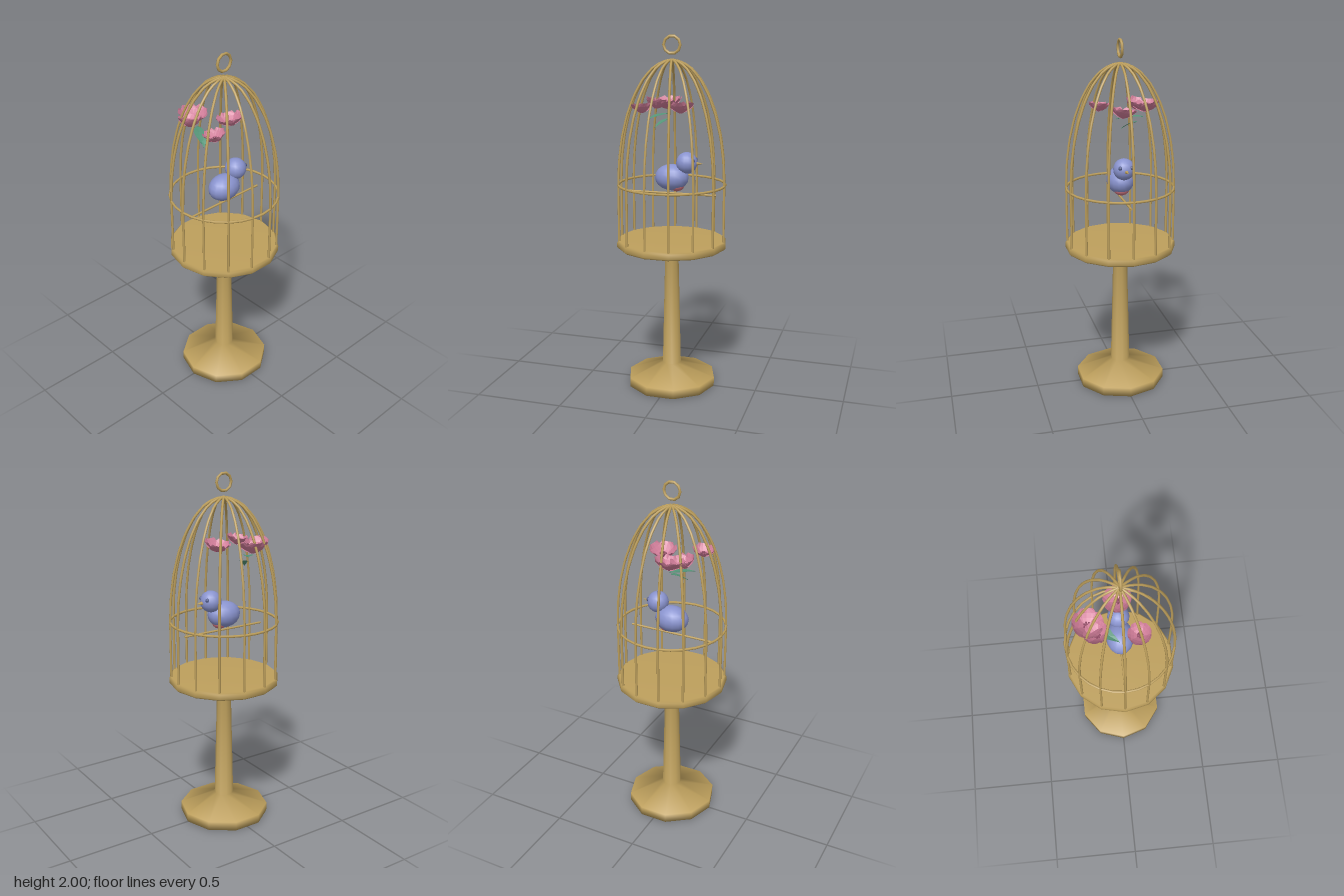
import * as THREE from 'three';

const mat = (name, color, extra = {}) => {
  const m = new THREE.MeshStandardMaterial({ color, ...extra });
  m.name = name;
  return m;
};

export function createModel() {
  const gold = mat('gold', 0xbd9f5c);
  const blue = mat('feather blue', 0x8a94cf);
  const eyeBlue = mat('eye blue', 0x555f8c);
  const petalPink = mat('petal pink', 0xd07d99, { flatShading: true, side: THREE.DoubleSide });
  const darkPink = mat('stamen pink', 0x96506a, { flatShading: true });
  const bellyPink = mat('belly pink', 0xc97480);
  const green = mat('leaf green', 0x559478, { flatShading: true, side: THREE.DoubleSide });

  const model = new THREE.Group();
  const add = (parent, name, geo, material, x = 0, y = 0, z = 0) => {
    const m = new THREE.Mesh(geo, material);
    m.name = name;
    m.position.set(x, y, z);
    parent.add(m);
    return m;
  };
  const lathe = (pts, sides) =>
    new THREE.LatheGeometry(pts.map(([r, y]) => new THREE.Vector2(r, y)), sides, Math.PI / 2);

  // Stand with wide foot and flared neck
  add(model, 'stand', lathe([
    [0, 0], [0.255, 0], [0.255, 0.052], [0.055, 0.125], [0.04, 0.765], [0.085, 0.83],
  ], 10), gold);

  // Cage tray
  const SIDES = 14;
  add(model, 'tray', lathe([
    [0, 0.822], [0.302, 0.822], [0.312, 0.832], [0.312, 0.858], [0.302, 0.868], [0, 0.868],
  ], SIDES), gold);

  // Cage bars: straight below, elliptical dome above
  const cage = new THREE.Group();
  cage.name = 'cage';
  model.add(cage);
  const path = new THREE.CurvePath();
  const profile = [new THREE.Vector3(0.3, 0.86, 0), new THREE.Vector3(0.3, 1.19, 0)];
  for (let i = 1; i <= 8; i++) {
    const a = (i / 8) * Math.PI / 2;
    profile.push(new THREE.Vector3(0.3 * Math.cos(a), 1.19 + 0.68 * Math.sin(a), 0));
  }
  for (let i = 1; i < profile.length; i++) path.add(new THREE.LineCurve3(profile[i - 1], profile[i]));
  const barGeo = new THREE.TubeGeometry(path, 28, 0.007, 6);
  for (let i = 0; i < SIDES; i++) {
    add(cage, 'bar', barGeo, gold).rotation.y = (i / SIDES) * Math.PI * 2;
  }

  // Hoop, hanging ring and perch
  add(cage, 'hoop', new THREE.TorusGeometry(0.3, 0.007, 6, SIDES * 2), gold, 0, 1.183, 0).rotation.x = Math.PI / 2;
  add(cage, 'hangingRing', new THREE.TorusGeometry(0.047, 0.008, 6, 10), gold, 0, 1.948, 0);
  add(cage, 'perch', new THREE.CylinderGeometry(0.006, 0.006, 0.51, 8), gold, 0, 1.132, 0.003).rotation.z = Math.PI / 2;

  // Bird facing +x
  const bird = new THREE.Group();
  bird.name = 'bird';
  model.add(bird);
  const ball = (name, material, x, y, z, rx, ry = rx, rz = rx) =>
    add(bird, name, new THREE.SphereGeometry(1, 16, 10), material, x, y, z).scale.set(rx, ry, rz);
  ball('body', blue, 0, 1.223, 0, 0.097, 0.074, 0.076);
  ball('head', blue, 0.086, 1.308, 0, 0.06);
  ball('belly', bellyPink, 0.03, 1.18, 0, 0.042, 0.035, 0.045);
  for (const s of [-1, 1]) ball('eye', eyeBlue, 0.129, 1.325, s * 0.031, 0.011);
  add(bird, 'beak', new THREE.ConeGeometry(0.012, 0.04, 6), gold, 0.158, 1.306, 0).rotation.z = -Math.PI / 2;

  // One cupped petal: a bent sheet, wide near a notched tip
  const petalGeometry = (R, h) => {
    const g = new THREE.PlaneGeometry(1, 1, 4, 4);
    const p = g.attributes.position;
    for (let i = 0; i < p.count; i++) {
      const u = p.getX(i) * 2;
      const v = p.getY(i) + 0.5;
      const width = R * (0.12 + 0.5 * Math.sin(Math.min(v * 1.25, 1) * Math.PI / 2) - 0.22 * Math.max(0, v - 0.72) / 0.28);
      const out = R * v * (1 - 0.08 * u * u * v);
      p.setXYZ(i, u * width, h * (0.45 * v + 0.55 * v * v) + 0.1 * R * u * u * v, out);
    }
    g.computeVertexNormals();
    return g;
  };

  // Cup flower with a cluster of stamens
  const flower = (x, y, z, R, h, tiltX, tiltZ, turn) => {
    const f = new THREE.Group();
    f.name = 'flower';
    f.position.set(x, y, z);
    f.rotation.set(tiltX, 0, tiltZ);
    model.add(f);
    const petal = petalGeometry(R, h);
    for (let i = 0; i < 5; i++) {
      const m = add(f, 'petal', petal, petalPink, 0, i % 2 * 0.002, 0);
      m.rotation.y = turn + i * Math.PI * 2 / 5;
    }
    const bead = new THREE.IcosahedronGeometry(0.006, 0);
    for (let i = 0; i < 8; i++) {
      const a = i * Math.PI * 2 / 7;
      const r = i === 7 ? 0 : 0.2 * R;
      add(f, 'stamen', bead, darkPink, r * Math.sin(a), 0.4 * h + (i === 7 ? 0.006 : 0), r * Math.cos(a));
    }
    add(f, 'flowerCentre', new THREE.CylinderGeometry(0.16 * R, 0.08 * R, 0.4 * h, 7), darkPink, 0, 0.2 * h, 0);
  };
  flower(-0.07, 1.585, -0.172, 0.08, 0.055, 0.12, 0.05, 0.3);
  flower(-0.133, 1.59, -0.12, 0.064, 0.052, -0.2, -0.15, 0.8);
  flower(0.052, 1.58, 0, 0.074, 0.05, -0.18, 0.08, 0.1);
  flower(-0.143, 1.585, 0.088, 0.06, 0.047, -0.12, 0.1, 0.5);

  // Leaves: folded lozenge strips from root to tip
  const leaf = (root, tip, width) => {
    const a = new THREE.Vector3(...root);
    const d = new THREE.Vector3(...tip).sub(a);
    const side = new THREE.Vector3(0, 1, 0).cross(d).normalize();
    const g = new THREE.PlaneGeometry(1, 1, 2, 5);
    const p = g.attributes.position;
    const q = new THREE.Vector3();
    for (let i = 0; i < p.count; i++) {
      const u = p.getX(i) * 2;
      const v = p.getY(i) + 0.5;
      const w = width * Math.sin(Math.PI * Math.pow(v, 0.8));
      q.copy(a).addScaledVector(d, v).addScaledVector(side, u * w / 2);
      p.setXYZ(i, q.x, q.y + 0.008 * Math.sin(Math.PI * v) + 0.004 * Math.abs(u), q.z);
    }
    g.computeVertexNormals();
    add(model, 'leaf', g, green);
  };
  leaf([-0.06, 1.56, -0.145], [-0.148, 1.535, -0.015], 0.055);
  leaf([-0.05, 1.535, -0.11], [-0.112, 1.488, -0.035], 0.045);

  return model;
}
